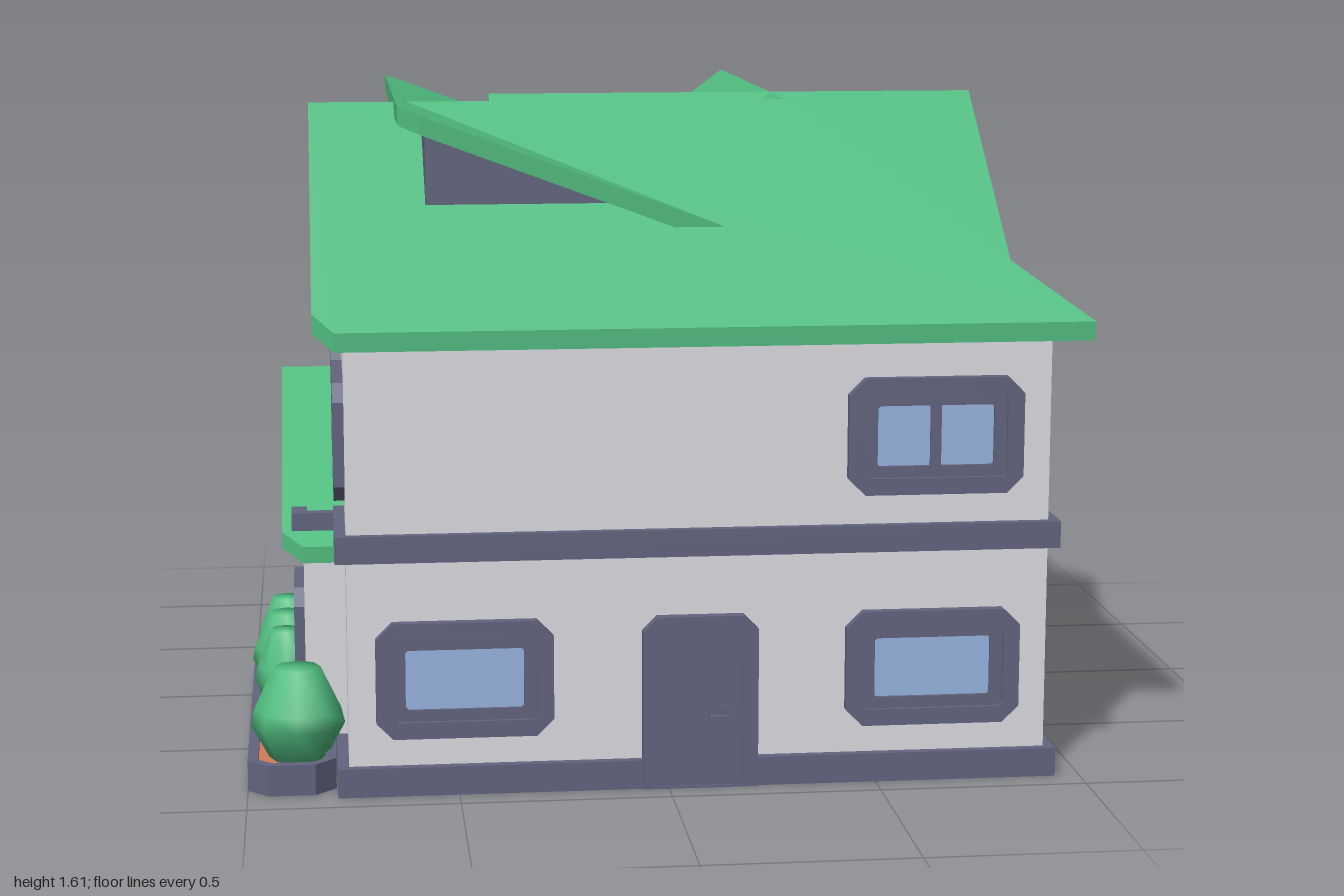
import * as THREE from 'three';

const mat = (name, color) => {
  const m = new THREE.MeshStandardMaterial({ color });
  m.name = name;
  return m;
};

export function createModel() {
  const house = new THREE.Group();
  house.name = 'house';
  const green = mat('leaf green', 0x50bb7f);
  const wall = mat('pale grey', 0xdcdce2);
  const trim = mat('slate', 0x62647e);
  const glass = mat('sky blue', 0x97b4e0);
  const soil = mat('terracotta', 0xd07c56);

  const add = (name, geo, material, parent = house) => {
    const m = new THREE.Mesh(geo, material);
    m.name = name;
    parent.add(m);
    return m;
  };
  const box = (name, x0, x1, y0, y1, z0, z1, material, parent) => {
    const m = add(name, new THREE.BoxGeometry(x1 - x0, y1 - y0, z1 - z0), material, parent);
    m.position.set((x0 + x1) / 2, (y0 + y1) / 2, (z0 + z1) / 2);
    return m;
  };
  const shapeOf = pts => new THREE.Shape(pts.map(p => new THREE.Vector2(p[0], p[1])));
  const extrude = (shape, depth) => new THREE.ExtrudeGeometry(shape, { depth, bevelEnabled: false });
  // rectangle with cut corners, centred on the origin
  const octagon = (w, h, c) => {
    const a = w / 2, b = h / 2;
    return [[-a + c, -b], [a - c, -b], [a, -b + c], [a, b - c], [a - c, b], [-a + c, b], [-a, b - c], [-a, -b + c]];
  };
  // solid with a profile in x,y running along z
  const alongZ = (name, pts, z0, z1, material) => {
    const m = add(name, extrude(shapeOf(pts), z1 - z0), material);
    m.position.z = z0;
  };
  // solid with a profile in z,y running along x
  const alongX = (name, pts, x0, x1, material) => {
    const g = extrude(shapeOf(pts.map(([z, y]) => [-z, y])), x1 - x0).rotateY(Math.PI / 2);
    add(name, g, material).position.x = x0;
  };
  // sloping plate: outline in x,z, with its top height given by a rule
  const plate = (name, pts, height, t = 0.045) => {
    const g = extrude(shapeOf(pts.map(([x, z]) => [x, -z])), t).rotateX(-Math.PI / 2);
    const p = g.attributes.position;
    for (let i = 0; i < p.count; i++) p.setY(i, p.getY(i) - t + height(p.getX(i), p.getZ(i)));
    g.computeVertexNormals();
    add(name, g, green);
  };

  // walls of the two wings, the front corner, the stair tower and the extension
  const G = 0.02;
  alongX('leftWing', [[0.91, G], [0.91, 1.12], [0.34, 1.55], [-0.22, 1.12], [-0.22, G]], -0.76, 0.36, wall);
  alongZ('backWing', [[0.914, G], [0.914, 1.12], [0.36, 1.55], [-0.21, 1.12], [-0.21, G]], -0.78, 0.34, wall);
  box('frontCorner', 0.3, 0.914, G, 1.12, 0.3, 0.91, wall);
  box('stairTower', -0.53, -0.2, G, 1.12, -0.46, -0.2, wall);
  alongX('extensionWalls', [[0.63, G], [0.63, 0.54], [0.07, 0.86], [-0.5, 0.54], [-0.5, G]], -0.86, -0.25, wall);
  alongX('sideGableWall', [[0.56, 1.18], [0.08, 1.55], [-0.4, 1.18]], 0.4, 0.83, wall);
  alongX('innerGableWall', [[0.5, 1.24], [0.08, 1.555], [-0.34, 1.24]], -0.33, 0.36, wall);

  // plinth around each block, and the middle band
  for (const [x0, x1, z0, z1] of [[-0.787, 0.94, -0.242, 0.932], [-0.237, 0.94, -0.802, 0.5]]) {
    box('plinth', x0, x1, 0, 0.07, z0, z1, trim);
    box('middleBand', x0, x1, 0.565, 0.63, z0, z1, trim);
  }
  box('extensionPlinth', -0.887, -0.25, 0, 0.07, -0.522, 0.652, trim);
  box('extensionBand', -0.887, -0.85, 0.565, 0.63, -0.522, 0.652, trim);
  box('extensionBandBack', -0.887, -0.75, 0.565, 0.63, -0.522, -0.49, trim);
  box('extensionBandFront', -0.887, -0.75, 0.565, 0.63, 0.62, 0.652, trim);

  // main roof: left gable, back gable and a hip at the front corner
  const S = 0.75, R = 1.598;
  plate('frontRoof', [[-0.83, 0.34], [-0.83, 0.93], [-0.78, 0.98], [1, 0.98], [0.36, 0.34]], (x, z) => R - S * (z - 0.34));
  plate('rightRoof', [[1, 0.98], [1, -0.79], [0.94, -0.85], [0.36, -0.85], [0.36, 0.34]], x => R - S * (x - 0.36));
  plate('leftWingBackRoof', [[-0.83, 0.34], [0.36, 0.34], [-0.28, -0.3], [-0.77, -0.3], [-0.83, -0.24]], (x, z) => R - S * (0.34 - z));
  plate('backWingLeftRoof', [[0.36, 0.34], [0.36, -0.85], [-0.22, -0.85], [-0.28, -0.79], [-0.28, -0.3]], x => R - S * (0.36 - x));

  // cross gables, sharing a ridge at z = 0.08
  const cross = (x, z) => R - S * Math.abs(z - 0.08);
  plate('sideGableRoofFront', [[0.36, 0.08], [0.885, 0.08], [0.885, 0.61]], cross);
  plate('sideGableRoofBack', [[0.36, 0.08], [0.885, 0.08], [0.885, -0.45]], cross);
  plate('innerGableRoofFront', [[-0.37, 0.08], [0.36, 0.08], [0.36, 0.25], [-0.37, 0.25]], cross);
  plate('innerGableRoofBack', [[-0.37, 0.08], [0.36, 0.08], [-0.1, -0.37], [-0.37, -0.37]], cross);

  // long shed dormer with slate walls
  alongZ('shedDormerWalls', [[-0.555, 1.09], [0.1, 1.09], [0.1, 1.31], [-0.555, 1.56]], -0.48, 0.64, trim);
  plate('shedDormerRoof', [[-0.62, -0.5], [-0.57, -0.55], [0.2, -0.55], [0.2, 0.71], [-0.57, 0.71], [-0.62, 0.66]],
    x => 1.61 - 0.372 * (x + 0.62));

  // small dormer on the left wing's back slope
  alongX('smallDormerWalls', [[0.06, 1.1], [0.06, 1.45], [-0.22, 1.25], [-0.22, 1.02]], -0.64, -0.5, wall);
  plate('smallDormerRoof', [[-0.69, 0.02], [-0.63, 0.08], [-0.5, 0.08], [-0.5, -0.27], [-0.63, -0.27], [-0.69, -0.21]],
    (x, z) => 1.5 - 0.7 * (0.08 - z), 0.04);

  // extension roof with its ridge at z = 0.07
  for (const s of [-1, 1]) {
    const e = 0.07 + s * 0.635;
    plate('extensionRoof', [[-0.91, 0.07], [-0.91, e - s * 0.05], [-0.86, e], [-0.26, e], [-0.26, 0.07]],
      (x, z) => 0.895 - 0.53 * Math.abs(z - 0.07), 0.04);
  }

  // porch at the back
  plate('porchRoof', [[-0.2, -0.77], [0.91, -0.77], [0.91, -0.95], [0.88, -0.985], [-0.17, -0.985], [-0.2, -0.95]],
    (x, z) => 0.565 + 0.33 * (z + 0.77), 0.04);
  for (const x of [-0.14, 0.88]) box('porchPost', x - 0.02, x + 0.02, 0, 0.49, -0.92, -0.88, trim);

  // little canopies in the inner corner
  for (const y of [0.9, 1.15])
    plate('smallCanopy', [[-0.2, -0.45], [-0.36, -0.45], [-0.39, -0.5], [-0.39, -0.58], [-0.34, -0.63], [-0.2, -0.63]],
      x => y + 0.35 * (x + 0.3), 0.04);

  // windows and doors, built facing +z and then turned to their wall
  const mount = (g, pos, normal) => {
    g.lookAt(...normal);
    g.position.set(...pos);
    house.add(g);
  };
  const ring = (w, h, c, iw, ih, ic, depth, name, parent) => {
    const s = shapeOf(octagon(w, h, c));
    s.holes.push(new THREE.Path(octagon(iw, ih, ic).map(p => new THREE.Vector2(...p))));
    add(name, extrude(s, depth), trim, parent);
  };
  const addWindow = (pos, normal, panes = 1, w = 0.42, h = 0.28) => {
    const g = new THREE.Group();
    g.name = 'window';
    const pw = w - 0.14, ph = h - 0.135;
    ring(w, h, 0.04, w - 0.08, h - 0.08, 0.008, 0.028, 'outerFrame', g);
    ring(w - 0.08, h - 0.08, 0.008, pw, ph, 0.006, 0.017, 'innerFrame', g);
    box('pane', -pw / 2, pw / 2, -ph / 2, ph / 2, 0, 0.008, glass, g);
    if (panes === 2) box('mullion', -0.013, 0.013, -ph / 2, ph / 2, 0, 0.015, trim, g);
    mount(g, pos, normal);
    return g;
  };
  const F = [0, 0, 1], B = [0, 0, -1], L = [-1, 0, 0], RT = [1, 0, 0];
  addWindow([0.635, 0.843, 0.908], F, 2);
  addWindow([0.635, 0.28, 0.908], F);
  addWindow([-0.485, 0.28, 0.908], F);
  const chevronWindow = addWindow([0.912, 0.843, 0.065], RT, 2);
  addWindow([0.912, 0.28, 0.065], RT);
  for (const x of [0.69, 0.1]) addWindow([x, 0.843, -0.778], B, 2);
  addWindow([0.69, 0.28, -0.778], B);
  for (const z of [0.14, 0.69]) addWindow([-0.758, 0.843, z], L, 2);
  addWindow([-0.858, 0.28, 0.43], L, 1, 0.3);
  addWindow([-0.6, 0.28, -0.498], B, 2, 0.45);
  addWindow([-0.38, 0.87, -0.458], B, 1, 0.28, 0.26);
  for (const x of [-0.02, 0.53]) addWindow([x, 1.393, -0.195], [0, 0.8, -0.6], 1, 0.28, 0.24);
  // green chevron strips behind the right upper window's bars
  for (const s of [-1, 1])
    add('chevron', extrude(shapeOf([[0, 0.07], [s * 0.14, -0.012], [s * 0.14, -0.065], [0, 0.017]]), 0.005), green, chevronWindow).position.z = 0.008;

  const addDoor = (pos, normal, glazed) => {
    const g = new THREE.Group();
    g.name = 'door';
    const outline = [[-0.138, 0], [0.138, 0], [0.138, 0.385], [0.103, 0.42], [-0.103, 0.42], [-0.138, 0.385]];
    const s = shapeOf(outline);
    s.holes.push(new THREE.Path([[-0.1, 0.005], [0.1, 0.005], [0.1, 0.38], [-0.1, 0.38]].map(p => new THREE.Vector2(...p))));
    add('doorFrame', extrude(s, 0.03), trim, g);
    box('doorLeaf', -0.1, 0.1, 0, 0.38, 0, 0.025, trim, g);
    if (glazed) box('doorGlass', -0.035, 0.035, 0.1, 0.34, 0.025, 0.029, glass, g);
    box('handlePlate', 0.05, 0.072, 0.14, 0.2, 0.025, 0.031, trim, g);
    box('handle', 0.02, 0.067, 0.162, 0.178, 0.025, 0.04, trim, g);
    mount(g, pos, normal);
  };
  addDoor([0.075, 0, 0.908], F, false);
  addDoor([0.05, 0, -0.778], B, true);

  // roof vent and stove pipe
  const cyl = (name, x, y0, y1, z, r) =>
    add(name, new THREE.CylinderGeometry(r, r, y1 - y0, 8), trim).position.set(x, (y0 + y1) / 2, z);
  cyl('roofVent', 0, 1.32, 1.42, -0.34, 0.035);
  cyl('roofVentCap', 0, 1.41, 1.46, -0.34, 0.058);
  cyl('stovePipe', -0.62, 0.6, 1.14, -0.4, 0.022);
  cyl('stovePipeCap', -0.62, 1.09, 1.14, -0.4, 0.035);
  cyl('stovePipeCollar', -0.62, 0.98, 1.01, -0.4, 0.03);

  // planters with a closed slate floor and soil
  const planter = (cx, cz, w, d) => {
    const g = new THREE.Group();
    g.name = 'planter';
    ring(w, d, 0.05, w - 0.05, d - 0.05, 0.03, 0.075, 'planterRim', g);
    add('planterFloor', extrude(shapeOf(octagon(w - 0.04, d - 0.04, 0.03)), 0.03), trim, g);
    add('soil', extrude(shapeOf(octagon(w - 0.04, d - 0.04, 0.03)), 0.03), soil, g).position.z = 0.03;
    g.rotation.x = -Math.PI / 2;
    g.position.set(cx, 0, cz);
    house.add(g);
  };
  planter(-0.895, 0.34, 0.21, 1.12);
  planter(-0.56, -0.59, 0.56, 0.27);

  // clipped bushes
  const profile = [[0, 0], [0.6, 0], [1, 0.38], [0.92, 0.55], [0.5, 1], [0, 1]];
  const bush = (x, z, r, h) => {
    const pts = profile.map(([a, b]) => new THREE.Vector2(a * r, b * h));
    add('bush', new THREE.LatheGeometry(pts, 8), green).position.set(x, 0.055, z);
  };
  for (const [x, z, r, h] of [[-0.91, -0.09, 0.08, 0.19], [-0.91, 0.12, 0.09, 0.2], [-0.91, 0.34, 0.08, 0.21],
    [-0.905, 0.53, 0.07, 0.15], [-0.88, 0.77, 0.113, 0.225], [-0.67, -0.62, 0.1, 0.2], [-0.47, -0.62, 0.095, 0.15],
    [-0.24, -0.62, 0.03, 0.07]]) bush(x, z, r, h);

  return house;
}
